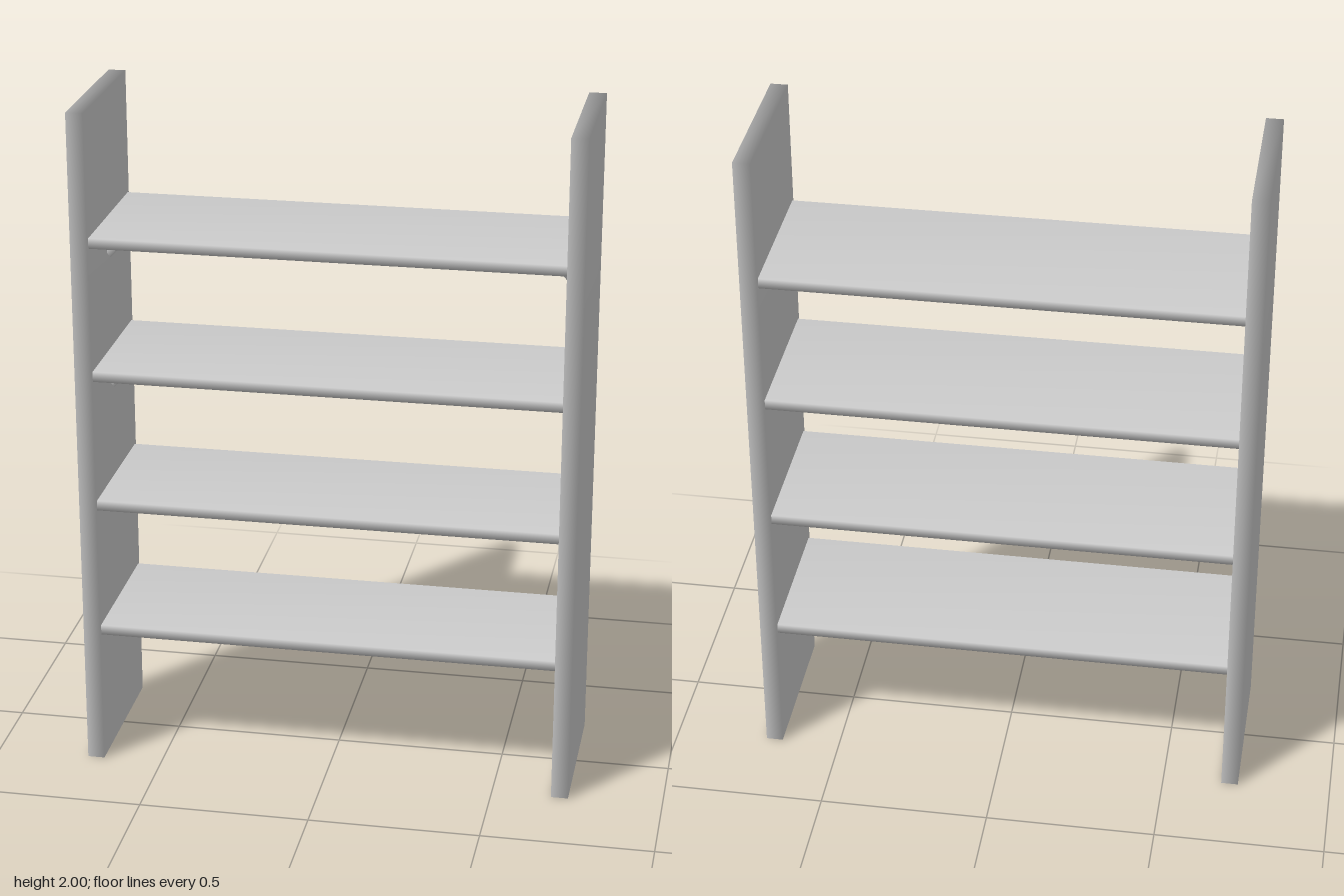
import * as THREE from 'three';
import { mergeVertices } from 'three/addons/utils/BufferGeometryUtils.js';

const material = new THREE.MeshStandardMaterial({ color: 0xcccccc });

// Box with shared corners, so shading runs smoothly over its edges
function board(name, width, height, depth) {
  const box = new THREE.BoxGeometry(width, height, depth);
  box.deleteAttribute('normal');
  box.deleteAttribute('uv');
  const geometry = mergeVertices(box);
  geometry.computeVertexNormals();
  const mesh = new THREE.Mesh(geometry, material);
  mesh.name = name;
  return mesh;
}

export function createModel() {
  const group = new THREE.Group();
  group.name = 'shelfUnit';
  const sides = [['left', 1], ['right', -1]];

  // Upright side panels
  for (const [label, s] of sides) {
    const panel = board(`${label}SidePanel`, 0.05, 2, 0.475);
    panel.position.set(s * 0.7, 1, 0);
    group.add(panel);
  }

  // Four shelves, evenly spaced
  for (let i = 0; i < 4; i++) {
    const y = 0.42 + i * 0.4;
    const shelf = board(`shelf${i + 1}`, 1.36, 0.03, 0.45);
    shelf.position.y = y;
    group.add(shelf);

    // Diagonal braces under every shelf but the lowest
    if (i === 0) continue;
    for (const [label, s] of sides) {
      const brace = board(`${label}Brace${i + 1}`, 0.13, 0.03, 0.05);
      brace.position.set(s * 0.63, y - 0.0475, 0);
      brace.rotation.z = -s * Math.PI / 4;
      group.add(brace);
    }
  }
  return group;
}
